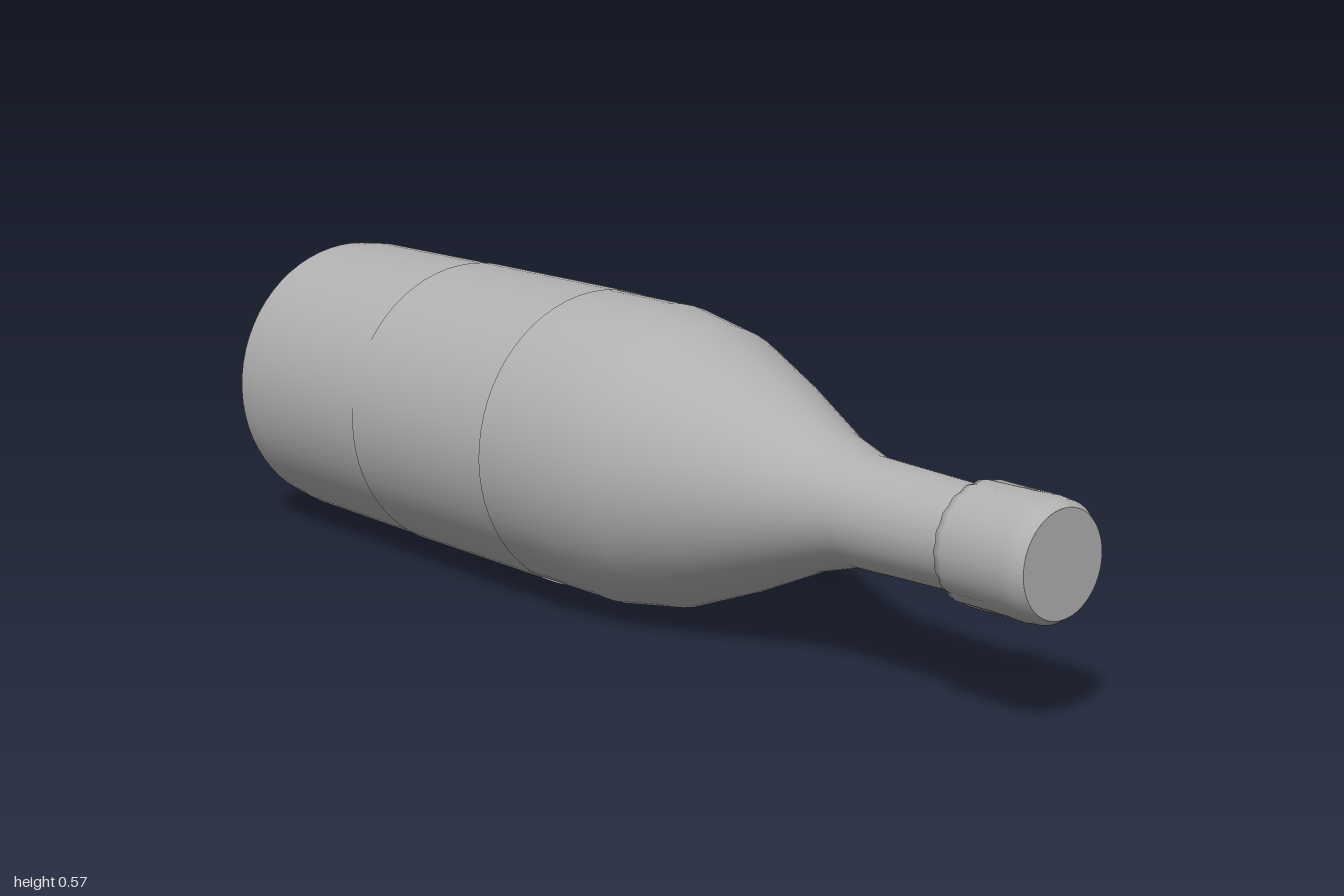
import * as THREE from 'three';

export function createModel() {
  const group = new THREE.Group();
  const grey = new THREE.MeshStandardMaterial({ color: 0xb0b0b0, side: THREE.DoubleSide });
  grey.name = 'grey';
  const axisY = 0.287;

  // Turns a [radius, z] profile around the bottle's axis
  const turn = (name, profile, segments = 64) => {
    const points = profile.map(([r, z]) => new THREE.Vector2(r, z));
    const geometry = new THREE.LatheGeometry(points, segments).rotateX(Math.PI / 2);
    const mesh = new THREE.Mesh(geometry, grey);
    mesh.name = name;
    mesh.position.y = axisY;
    group.add(mesh);
    return mesh;
  };

  // Open-based body, sloping shoulder and neck
  turn('bottle', [
    [0.279, -1], [0.284, -0.94], [0.284, -0.6], [0.281, -0.15], [0.28, 0.02],
    [0.258, 0.15], [0.2, 0.3], [0.125, 0.47], [0.096, 0.57], [0.089, 0.8], [0.088, 0.84],
  ]);

  // Thin sleeve around the body
  turn('label', [[0.2855, -0.57], [0.2835, -0.15]]);

  // Cap with a softly scalloped skirt
  const cap = turn('cap', [
    [0.088, 0.815], [0.1, 0.82], [0.103, 0.835], [0.103, 0.96], [0.1, 0.985], [0.09, 1],
  ], 120);
  const p = cap.geometry.attributes.position;
  for (let i = 0; i < p.count; i++) {
    const x = p.getX(i), y = p.getY(i), z = p.getZ(i);
    if (z > 0.9 || z < 0.818) continue;
    const k = 1 + 0.015 * Math.cos(20 * Math.atan2(y, x));
    p.setXYZ(i, x * k, y * k, z);
  }

  // Flat end of the cap
  const end = new THREE.Mesh(new THREE.CircleGeometry(0.09, 64), grey);
  end.name = 'capEnd';
  end.position.set(0, axisY, 1);
  group.add(end);

  return group;
}
